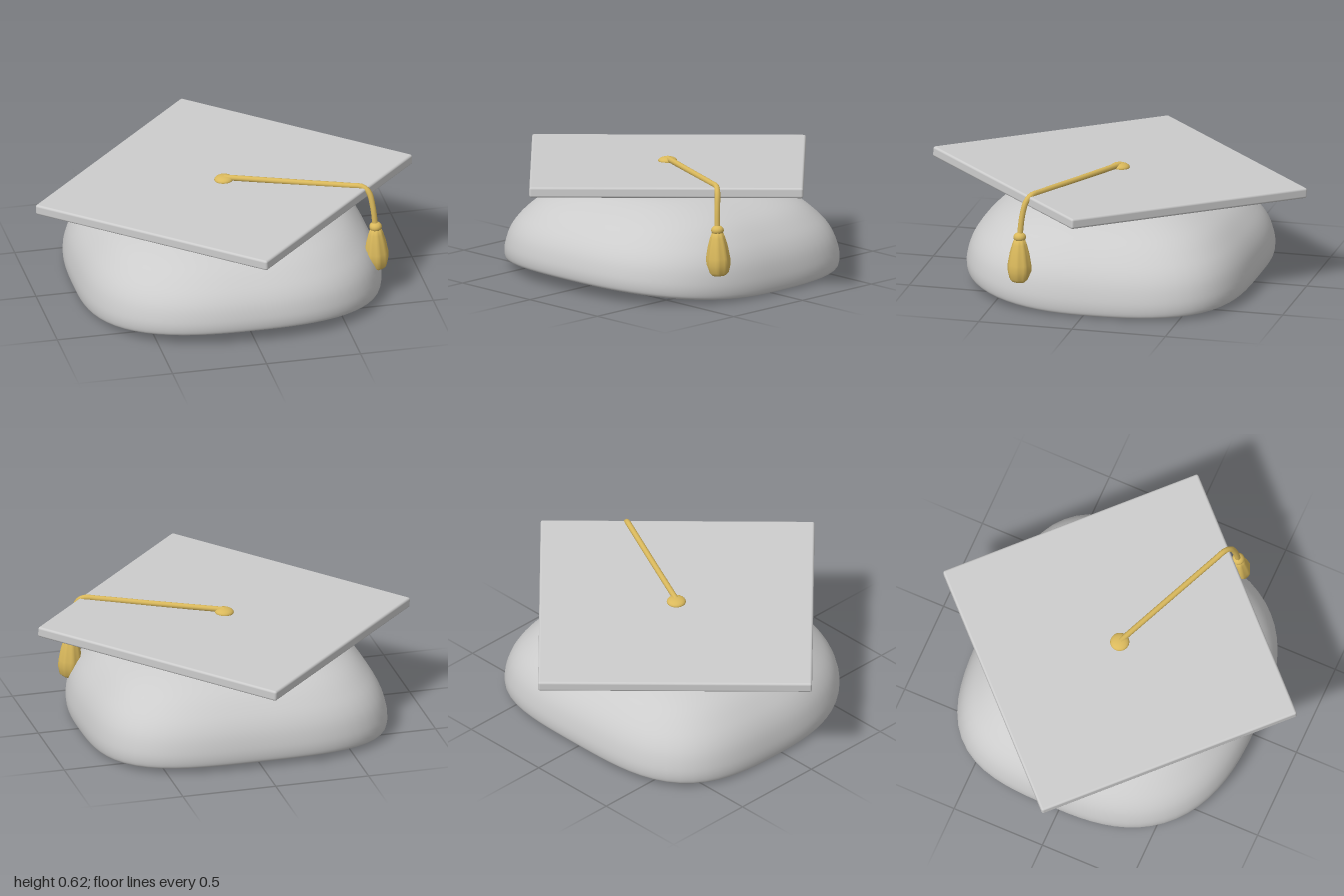
import * as THREE from 'three';
import { mergeVertices } from 'three/addons/utils/BufferGeometryUtils.js';
import { RoundedBoxGeometry } from 'three/addons/geometries/RoundedBoxGeometry.js';

const v2 = (list) => list.map(([x, y]) => new THREE.Vector2(x, y));

// Lathe whose vertices are moved by a rule, with seamless smooth normals
function shapedLathe(points, segments, rule) {
  let geo = new THREE.LatheGeometry(points, segments);
  const pos = geo.attributes.position;
  const p = new THREE.Vector3();
  for (let i = 0; i < pos.count; i++) {
    rule(p.fromBufferAttribute(pos, i));
    pos.setXYZ(i, p.x, p.y, p.z);
  }
  geo.deleteAttribute('uv');
  geo.deleteAttribute('normal');
  geo = mergeVertices(geo, 1e-5);
  geo.computeVertexNormals();
  return geo;
}

export function createModel() {
  const model = new THREE.Group();
  const cloth = new THREE.MeshStandardMaterial({ color: 0xcccccc });
  cloth.name = 'grey cloth';
  const gold = new THREE.MeshStandardMaterial({ color: 0xdab95c });
  gold.name = 'gold thread';

  const add = (parent, name, geometry, material) => {
    const mesh = new THREE.Mesh(geometry, material);
    mesh.name = name;
    parent.add(mesh);
    return mesh;
  };

  // Hollow cap: profile runs from the sloping inner dome, round the rim, up the outside
  const capProfile = new THREE.SplineCurve(v2([
    [0, 0.4], [0.2, 0.385], [0.45, 0.32], [0.65, 0.22], [0.8, 0.1], [0.89, 0.016],
    [0.925, 0.002], [0.97, 0.003], [0.998, 0.02], [1, 0.09], [0.965, 0.19], [0.89, 0.28],
    [0.76, 0.37], [0.56, 0.438], [0.36, 0.465], [0, 0.47],
  ])).getPoints(75);
  capProfile.forEach((p) => { p.x = Math.max(p.x, 0); });
  add(model, 'cap', shapedLathe(capProfile, 80, (p) => {
    const s = Math.hypot(p.x, p.z);
    if (s < 1e-6) return;
    // Rounded-square plan, softer at the front than at the back
    const front = p.z > 0;
    const n = front ? 2.6 : 3.4;
    const c = p.x / s, d = p.z / s;
    const k = s / Math.pow(Math.abs(c) ** n + Math.abs(d) ** n, 1 / n);
    // Rim rises towards the front and a little towards the back
    const rise = (front ? 0.065 : 0.025) * (d * k) ** 2;
    p.y += rise * Math.max(0, 1 - p.y / 0.4);
    p.x = c * k * 0.795;
    p.z = d * k * (front ? 0.765 : 0.748);
  }), cloth);

  // Rounded collar joining the cap to the board
  add(model, 'collar', new THREE.LatheGeometry(v2([
    [0.26, 0.455], [0.3, 0.465], [0.34, 0.475], [0.365, 0.487], [0.374, 0.5],
    [0.365, 0.513], [0.33, 0.523], [0.22, 0.53],
  ]), 48), cloth);

  // Square board, corner to the front, tilted up towards the front left
  const top = new THREE.Group();
  top.name = 'boardAssembly';
  top.position.y = 0.54;
  top.rotation.set(0, -Math.PI / 4, 0.046);
  model.add(top);
  add(top, 'board', new RoundedBoxGeometry(1.422, 0.055, 1.422, 3, 0.012), cloth);

  // Flattened button in the middle of the board
  const button = add(top, 'button', new THREE.SphereGeometry(0.05, 24, 12), gold);
  button.scale.y = 0.45;
  button.position.y = 0.03;

  // Cord across the board and over its edge
  const cordPath = new THREE.CatmullRomCurve3([
    [0, 0.582, 0], [0.35, 0.593, 0.157], [0.6, 0.602, 0.27], [0.67, 0.602, 0.302],
    [0.698, 0.577, 0.322], [0.715, 0.5, 0.34], [0.726, 0.39, 0.35],
  ].map((p) => new THREE.Vector3(...p)), false, 'centripetal');
  add(model, 'cord', new THREE.TubeGeometry(cordPath, 48, 0.015, 10), gold);

  // Tassel: knot and fluted skirt, hanging with a slight lean
  const tassel = new THREE.Group();
  tassel.name = 'tassel';
  tassel.position.set(0.727, 0.388, 0.35);
  tassel.rotation.z = 0.03;
  model.add(tassel);
  const knot = add(tassel, 'tasselKnot', new THREE.SphereGeometry(0.033, 16, 12), gold);
  knot.scale.y = 0.8;
  const skirtProfile = v2([
    [0, -0.24], [0.036, -0.238], [0.052, -0.222], [0.061, -0.18], [0.06, -0.145],
    [0.05, -0.085], [0.038, -0.04], [0.028, -0.012], [0, -0.01],
  ]);
  add(tassel, 'tasselSkirt', shapedLathe(skirtProfile, 32, (p) => {
    const flute = 1 + 0.05 * Math.cos(8 * Math.atan2(p.x, p.z));
    p.x *= flute;
    p.z *= flute;
  }), gold);

  return model;
}
